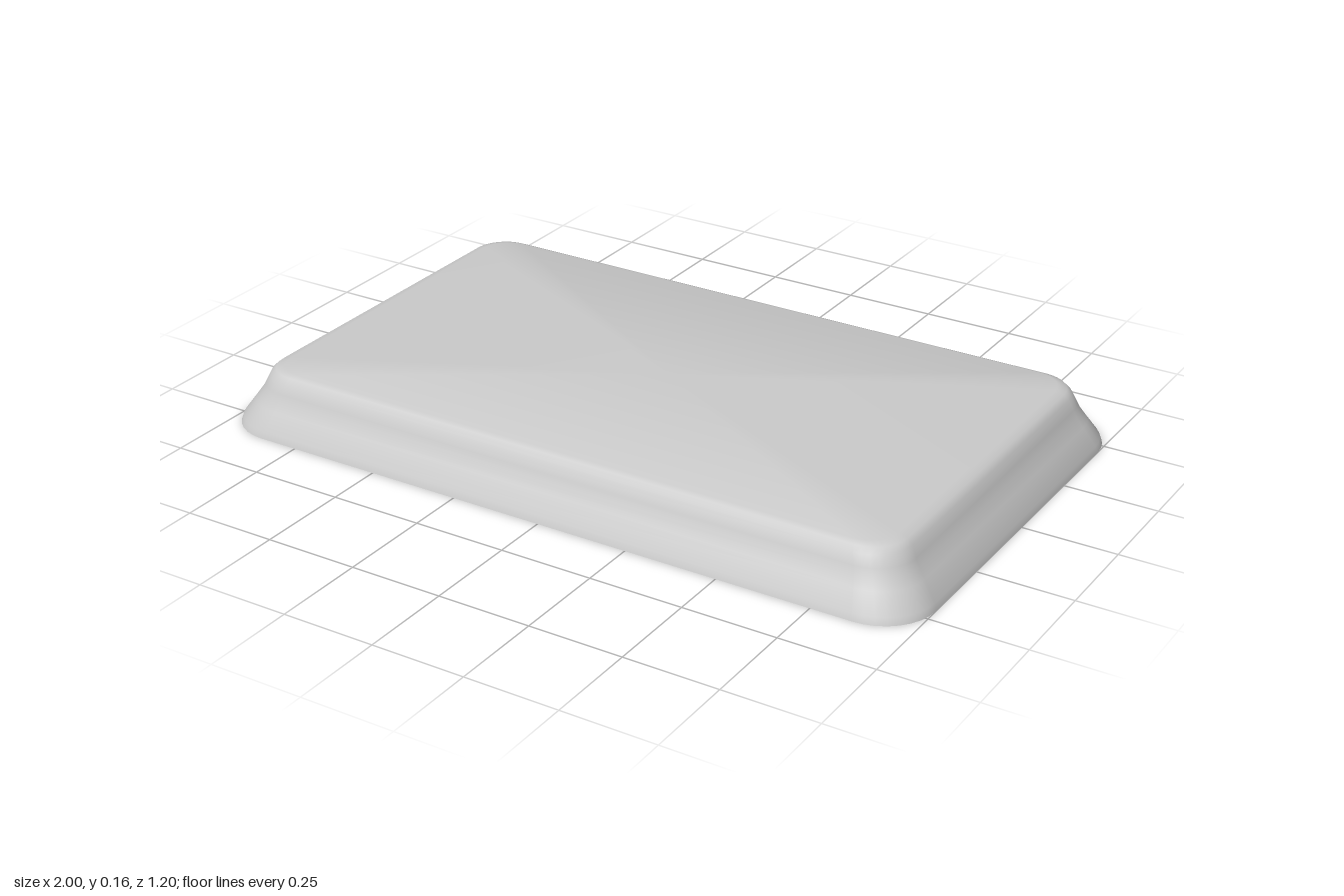
import * as THREE from 'three';
import { toCreasedNormals } from 'three/addons/utils/BufferGeometryUtils.js';

const material = new THREE.MeshStandardMaterial({ color: 0xcccccc, side: THREE.DoubleSide });
const CORNER_STEPS = 8;

// Rounded rectangle ring at height y, running from +x towards +z
function ring([hx, hz, r, y]) {
  const points = [];
  for (let c = 0; c < 4; c++) {
    const sx = c === 0 || c === 3 ? 1 : -1;
    const sz = c < 2 ? 1 : -1;
    for (let i = 0; i <= CORNER_STEPS; i++) {
      const a = (c + i / CORNER_STEPS) * Math.PI / 2;
      points.push([sx * (hx - r) + r * Math.cos(a), y, sz * (hz - r) + r * Math.sin(a)]);
    }
  }
  return points;
}

// Skin a list of rings; the last ring can be closed with a flat cap
function loft(sections, capped) {
  const rings = sections.map(ring);
  const n = rings[0].length;
  const positions = rings.flat(2);
  const index = [];
  for (let s = 0; s < rings.length - 1; s++) {
    for (let i = 0; i < n; i++) {
      const a = s * n + i, b = s * n + (i + 1) % n;
      index.push(a, a + n, b, b, a + n, b + n);
    }
  }
  if (capped) {
    const last = (rings.length - 1) * n, centre = rings.length * n;
    positions.push(0, sections[sections.length - 1][3], 0);
    for (let i = 0; i < n; i++) index.push(last + i, centre, last + (i + 1) % n);
  }
  const geometry = new THREE.BufferGeometry();
  geometry.setAttribute('position', new THREE.Float32BufferAttribute(positions, 3));
  geometry.setIndex(index);
  return toCreasedNormals(geometry, 0.6);
}

export function createModel() {
  const group = new THREE.Group();
  const add = (name, geometry) => {
    const mesh = new THREE.Mesh(geometry, material);
    mesh.name = name;
    group.add(mesh);
    return mesh;
  };

  // Outer shell: flared skirt, shoulder, softly rounded top edge (half x, half z, radius, y)
  add('outerShell', loft([
    [1.0, 0.6, 0.14, 0],
    [0.995, 0.595, 0.14, 0.018],
    [0.962, 0.566, 0.12, 0.065],
    [0.945, 0.552, 0.11, 0.09],
    [0.935, 0.545, 0.105, 0.11],
    [0.922, 0.535, 0.1, 0.138],
    [0.908, 0.524, 0.09, 0.151],
    [0.885, 0.508, 0.08, 0.157],
  ], true));

  // Flat underside of the rim, turning into the hollow interior
  add('rimUnderside', loft([
    [0.965, 0.565, 0.12, 0],
    [1.0, 0.6, 0.14, 0],
  ]));
  add('innerShell', loft([
    [0.965, 0.565, 0.12, 0],
    [0.935, 0.54, 0.11, 0.06],
    [0.915, 0.525, 0.1, 0.105],
    [0.895, 0.508, 0.09, 0.138],
  ].reverse()));
  const ceiling = add('innerCeiling', loft([[0.895, 0.508, 0.09, 0.138]], true));
  ceiling.geometry.scale(1, 1, 1);

  // Small clips on the inside of the front wall
  for (const x of [0.05, -0.5]) {
    add('innerClip', new THREE.BoxGeometry(0.09, 0.05, 0.03)).position.set(x, 0.09, 0.518);
  }
  return group;
}
